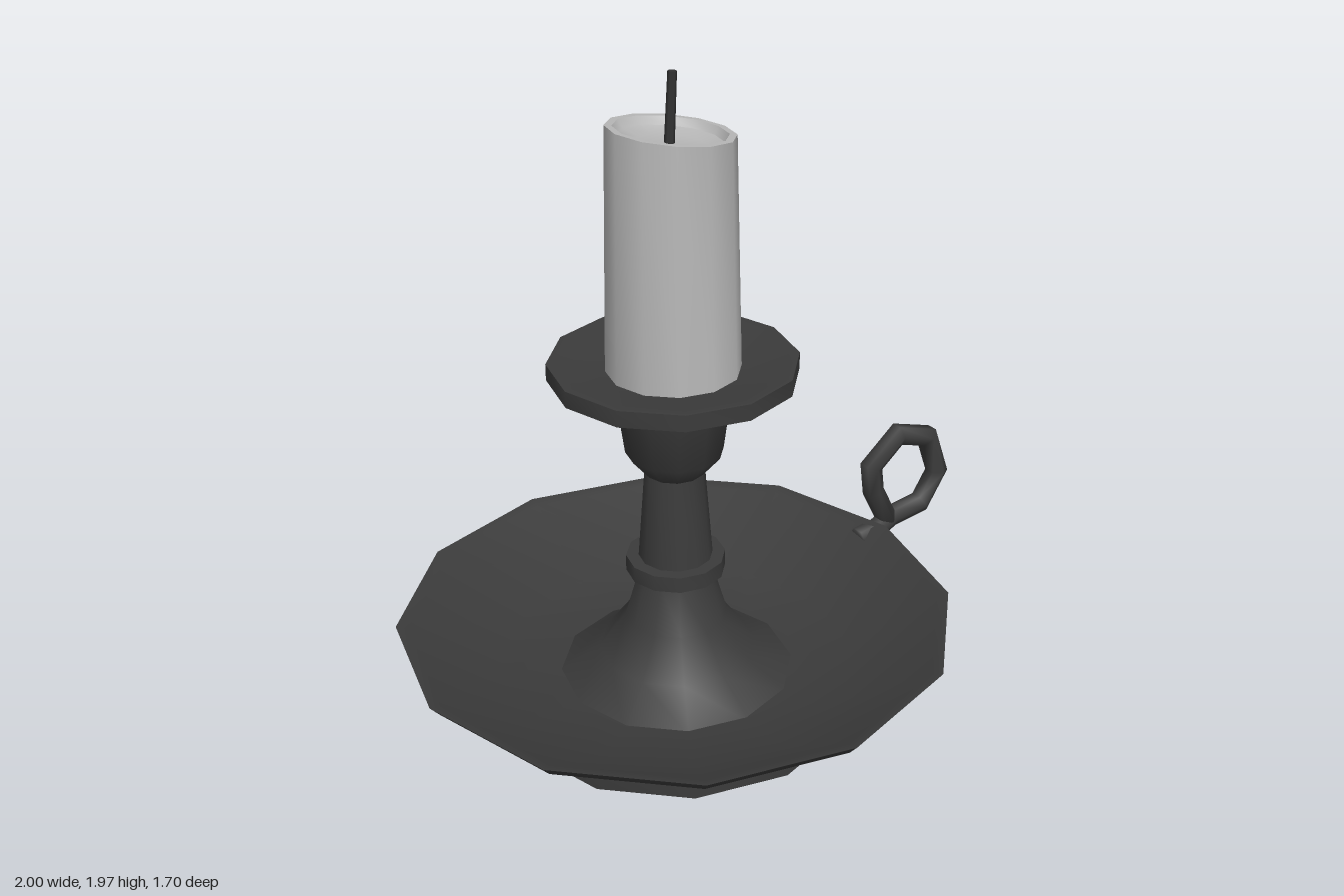
import * as THREE from 'three';
import { toCreasedNormals } from 'three/addons/utils/BufferGeometryUtils.js';

const AXIS = -0.15; // x of the candlestick's centre line
const material = (name, color) => Object.assign(new THREE.MeshStandardMaterial({ color }), { name });

function lathe(points, crease = 0.75) {
  const profile = points.map(([r, y]) => new THREE.Vector2(r, y));
  return toCreasedNormals(new THREE.LatheGeometry(profile, 12), crease);
}

// Sweeps a six-sided section along a mitred path in the xy plane
function sweep(path, halfWidth, halfDepth) {
  const sides = 6, pos = [], index = [];
  const pts = path.map(([x, y]) => new THREE.Vector2(x, y));
  const dir = (a, b) => pts[b].clone().sub(pts[a]).normalize();
  const last = pts.length - 1;
  pts.forEach((p, i) => {
    const d0 = dir(Math.max(i - 1, 0), Math.max(i, 1));
    const d1 = dir(Math.min(i, last - 1), Math.min(i + 1, last));
    const t = d0.clone().add(d1).normalize();
    const k = halfWidth / t.dot(d0);
    for (let s = 0; s < sides; s++) {
      const a = (s / sides) * Math.PI * 2;
      const w = Math.sin(a) * k / Math.sin(Math.PI / 3);
      pos.push(p.x - t.y * w, p.y + t.x * w, Math.cos(a) * halfDepth);
      if (i < last) {
        const q = i * sides + s, n = i * sides + (s + 1) % sides;
        index.push(q, q + sides, n, n, q + sides, n + sides);
      }
    }
  });
  for (let s = 1; s < sides - 1; s++) {
    const e = last * sides;
    index.push(0, s, s + 1, e, e + s + 1, e + s);
  }
  const geo = new THREE.BufferGeometry();
  geo.setAttribute('position', new THREE.Float32BufferAttribute(pos, 3));
  geo.setIndex(index);
  geo.computeVertexNormals();
  return geo;
}

export function createModel() {
  const model = new THREE.Group();
  model.name = 'candlestick';
  const iron = material('dark iron', 0x3b3b3b);
  const wax = material('pale wax', 0xb8b8b8);
  const char = material('charred wick', 0x333333);

  const add = (name, geo, mat, x = AXIS, y = 0, z = 0) => {
    const mesh = new THREE.Mesh(geo, mat);
    mesh.name = name;
    mesh.position.set(x, y, z);
    model.add(mesh);
    return mesh;
  };

  // Wide drip dish with a foot and a thin rim
  add('dish', lathe([[0, 0], [0.555, 0], [0.555, 0.06], [0.82, 0.245], [0.85, 0.28],
    [0.815, 0.272], [0.55, 0.1], [0.3, 0.085], [0, 0.085]]), iron);

  // Flared stem rising into the candle cup
  add('stem', lathe([[0.37, 0.08], [0.24, 0.165], [0.155, 0.28], [0.112, 0.43]]), iron);
  add('collar', lathe([[0.11, 0.41], [0.15, 0.435], [0.15, 0.485], [0.11, 0.485]]), iron);
  add('cup', lathe([[0.113, 0.47], [0.09, 0.77], [0.145, 0.835], [0.175, 1.06], [0.18, 1.1]]), iron);

  // Shallow plate under the candle
  add('dripPlate', lathe([[0.17, 1.06], [0.2, 1.08], [0.365, 1.08], [0.365, 1.13],
    [0.335, 1.13], [0.22, 1.1], [0, 1.1]]), iron);

  // Candle with a slanted, hollowed top
  const candle = new THREE.LatheGeometry([[0.197, 1.09], [0.181, 1.808], [0.16, 1.808],
    [0.145, 1.785], [0.1, 1.772], [0, 1.772]].map(([r, y]) => new THREE.Vector2(r, y)), 12);
  const p = candle.attributes.position;
  for (let i = 0; i < p.count; i++) {
    if (p.getY(i) > 1.5) p.setY(i, p.getY(i) - 0.125 * p.getX(i));
  }
  add('candle', toCreasedNormals(candle, 0.75), wax);

  // Leaning wick
  const wick = add('wick', new THREE.CylinderGeometry(0.013, 0.015, 0.21, 6), char, AXIS, 1.865);
  wick.rotation.z = -0.06;

  // Finger ring curling up from the rim
  add('handle', sweep([[0.62, 0.24], [0.7, 0.248], [0.765, 0.277], [0.892, 0.288], [0.962, 0.39],
    [0.908, 0.535], [0.777, 0.58], [0.667, 0.495], [0.68, 0.4], [0.745, 0.275]], 0.03, 0.037),
  iron, 0, 0, -0.045);

  return model;
}
